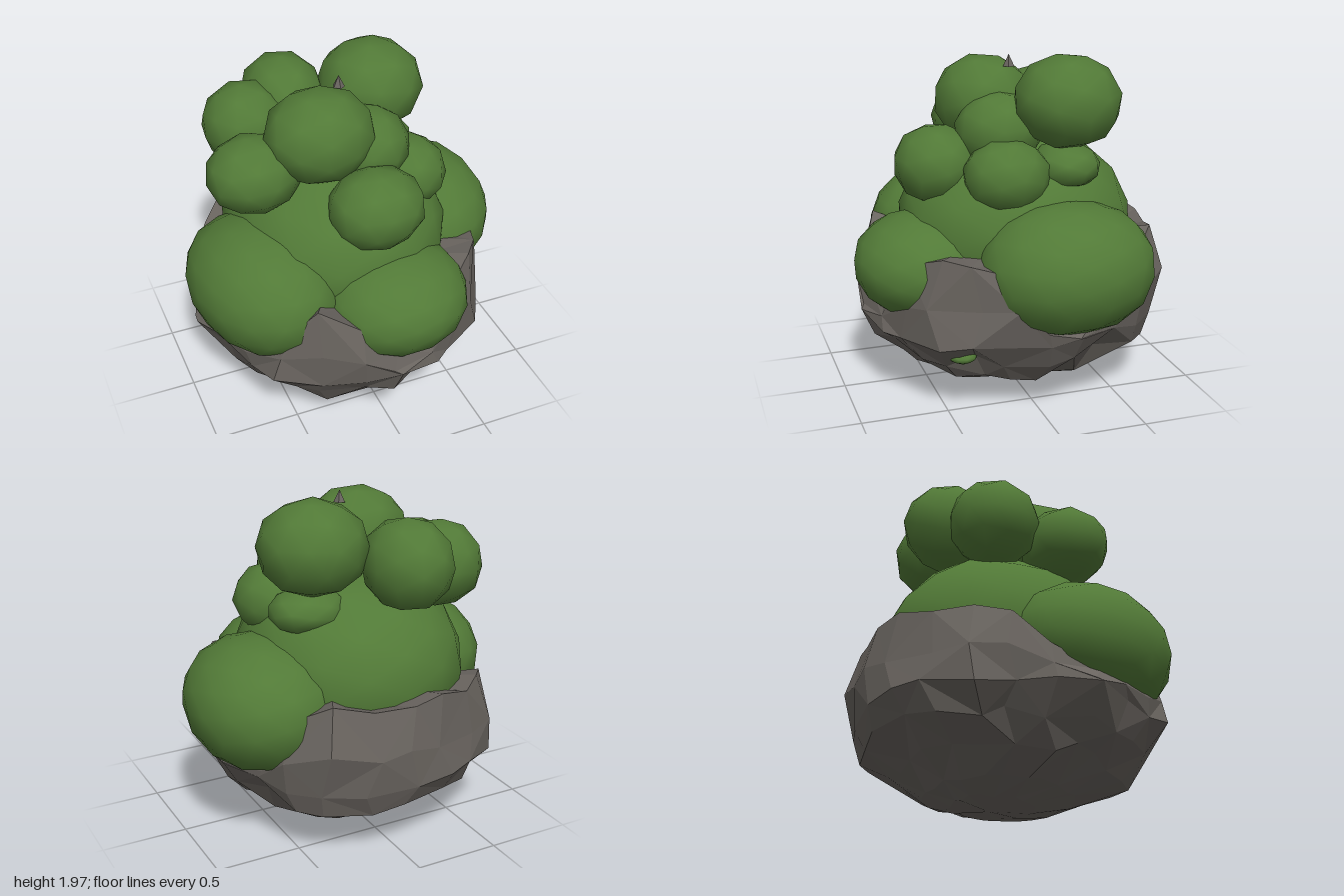
import * as THREE from 'three';

const leafGreen = new THREE.MeshStandardMaterial({ color: 0x527a37 });
leafGreen.name = 'leaf green';
const stoneGrey = new THREE.MeshStandardMaterial({ color: 0x69645f });
stoneGrey.name = 'stone grey';

// small seeded generator, -1 to 1
function seeded(seed) {
  return () => {
    seed = (seed * 16807) % 2147483647;
    return (seed / 2147483647) * 2 - 1;
  };
}

// foliage clumps: name, centre, radii, subdivision, fullness (2 = round), yaw
const clumps = [
  ['coreFoliage', [-0.04, 0.93, -0.07], [0.65, 0.54, 0.69], 2, 2.25, 0],
  ['sideFoliageRight', [-0.57, 0.82, 0.18], [0.41, 0.37, 0.52], 2, 2.15, 0.25],
  ['sideFoliageLeft', [0.57, 0.82, -0.18], [0.43, 0.37, 0.5], 2, 2.2, 0],
  ['frontFoliage', [0.1, 0.77, 0.52], [0.43, 0.3, 0.41], 2, 2.15, 0],
  ['topClumpFront', [-0.17, 1.65, 0.08], [0.32, 0.27, 0.29], 1, 2.1, 0],
  ['topClumpLeft', [0.29, 1.7, -0.28], [0.31, 0.27, 0.31], 1, 2.1, 0],
  ['topClumpRight', [-0.55, 1.47, 0.04], [0.27, 0.22, 0.25], 1, 2.1, 0],
  ['topClumpBack', [-0.18, 1.6, -0.5], [0.25, 0.26, 0.29], 1, 2.1, 0],
  ['topClumpBackRight', [-0.45, 1.54, -0.38], [0.26, 0.25, 0.26], 1, 2.1, 0],
  ['smallClumpFront', [0.03, 1.33, 0.42], [0.28, 0.23, 0.25], 1, 2.1, 0],
  ['smallClumpLeft', [0.35, 1.31, 0.1], [0.24, 0.21, 0.25], 1, 2.1, 0],
  ['smallClumpBackLeft', [0.31, 1.34, -0.26], [0.23, 0.13, 0.2], 1, 2.1, 0],
  ['middleClump', [0.11, 1.52, 0.07], [0.26, 0.23, 0.26], 1, 2, 0],
  ['strayLeaf', [0.57, 0.36, 0.43], [0.08, 0.04, 0.08], 1, 2, 0.8],
];

function foliage([name, centre, radii, detail, fullness, yaw], i) {
  const geo = new THREE.IcosahedronGeometry(1, detail);
  geo.rotateX(i * 0.9).rotateY(i * 1.7 + 0.4);
  // swell the ball towards a rounded box
  const pos = geo.attributes.position;
  const v = new THREE.Vector3();
  for (let k = 0; k < pos.count; k++) {
    v.fromBufferAttribute(pos, k);
    const sum = v.toArray().reduce((s, c) => s + Math.abs(c) ** fullness, 0);
    v.divideScalar(sum ** (1 / fullness));
    pos.setXYZ(k, v.x, v.y, v.z);
  }
  geo.scale(...radii).rotateY(yaw);
  const mesh = new THREE.Mesh(geo, leafGreen);
  mesh.name = name;
  mesh.position.set(...centre);
  return mesh;
}

// rock bowl: outer radius and rim height every 15 degrees, from +x towards +z
const reach = [0.87, 0.86, 0.86, 0.88, 0.9, 0.88, 0.92, 0.92, 0.94, 0.96, 0.92, 0.91,
  0.96, 0.95, 0.94, 0.97, 0.97, 0.97, 0.97, 0.95, 0.97, 0.95, 0.88, 0.86];
const rim = [0.57, 0.88, 0.92, 0.94, 0.86, 0.64, 0.6, 0.82, 0.92, 0.8, 0.7, 0.6,
  0.58, 0.7, 0.84, 0.9, 0.88, 0.93, 0.93, 0.9, 0.98, 0.87, 0.64, 0.56];

function rockGeometry() {
  const rand = seeded(4711);
  const n = reach.length;
  // each ring: share of the reach, height from the rim height, roughness, z shift
  const rings = [
    [0.25, () => 0.02, 0.01, -0.1],
    [0.45, () => 0.08, 0.015, -0.04],
    [0.68, () => 0.19, 0.035, 0.02],
    [0.84, () => 0.32, 0.045, 0],
    [0.94, () => 0.45, 0.035, 0],
    [0.95, (h) => 0.46 + (h - 0.46) * 0.45, 0.03, 0],
    [0.9, (h) => h, 0.025, 0],
    [0.6, (h) => h - 0.05, 0.02, 0],
  ];
  const points = [0, 0, -0.12];
  rings.forEach(([share, height, rough, shift]) => {
    for (let i = 0; i < n; i++) {
      const a = (i + rand() * 0.25) / n * Math.PI * 2;
      const r = reach[i] * share + rand() * rough;
      const y = Math.max(0, height(rim[i]) + rand() * rough);
      points.push(Math.cos(a) * r, y, Math.sin(a) * r + shift);
    }
  });
  points.push(0, 0.6, 0);
  const last = points.length / 3 - 1;
  const faces = [];
  const at = (k, i) => 1 + k * n + (i % n);
  for (let i = 0; i < n; i++) {
    faces.push(0, at(0, i), at(0, i + 1));
    faces.push(last, at(rings.length - 1, i + 1), at(rings.length - 1, i));
    for (let k = 0; k < rings.length - 1; k++) {
      const a = at(k, i), b = at(k, i + 1), c = at(k + 1, i), d = at(k + 1, i + 1);
      // alternate the diagonals for a chipped look
      if ((i + k) % 2) faces.push(a, c, b, b, c, d);
      else faces.push(a, c, d, a, d, b);
    }
  }
  const geo = new THREE.BufferGeometry();
  geo.setAttribute('position', new THREE.Float32BufferAttribute(points, 3));
  geo.setIndex(faces);
  const flat = geo.toNonIndexed();
  flat.computeVertexNormals();
  return flat;
}

export function createModel() {
  const model = new THREE.Group();
  model.name = 'bushOnRock';

  const rock = new THREE.Mesh(rockGeometry(), stoneGrey);
  rock.name = 'rockBase';
  model.add(rock);

  const bush = new THREE.Group();
  bush.name = 'bush';
  clumps.forEach((clump, i) => bush.add(foliage(clump, i)));
  model.add(bush);

  // small stone tip poking out of the top
  const tip = new THREE.Mesh(new THREE.ConeGeometry(0.035, 0.07, 5).toNonIndexed(), stoneGrey);
  tip.geometry.computeVertexNormals();
  tip.name = 'stoneTip';
  tip.position.set(-0.01, 1.9, -0.03);
  model.add(tip);

  return model;
}
